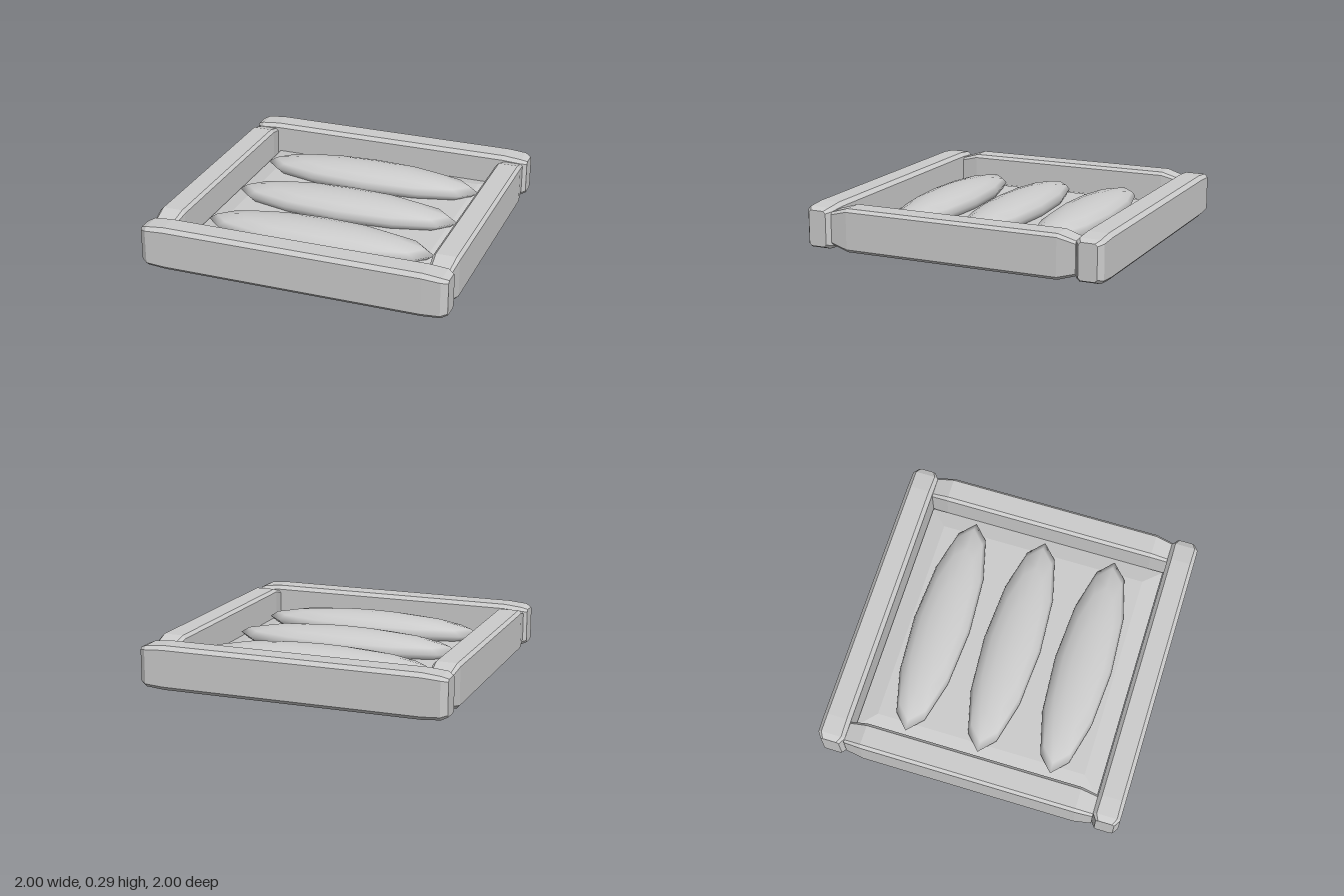
import * as THREE from 'three';

// Closed, flat-shaded solid lofted through rings of points of equal length.
// Rings run counter-clockwise as seen from the far end of the loft.
function loft(rings) {
  const pos = [];
  const tri = (a, b, c) => pos.push(...a, ...b, ...c);
  const n = rings[0].length;
  for (let r = 0; r < rings.length - 1; r++) {
    for (let i = 0; i < n; i++) {
      const j = (i + 1) % n;
      const [a, b, c, d] = [rings[r][i], rings[r][j], rings[r + 1][j], rings[r + 1][i]];
      tri(a, b, c);
      tri(a, c, d);
    }
  }
  const first = rings[0], last = rings[rings.length - 1];
  for (let i = 1; i < n - 1; i++) {
    tri(first[0], first[i + 1], first[i]);
    tri(last[0], last[i], last[i + 1]);
  }
  const g = new THREE.BufferGeometry();
  g.setAttribute('position', new THREE.Float32BufferAttribute(pos, 3));
  g.computeVertexNormals();
  return g;
}

// Eight-sided beam section at z: half width w, half height h, bevel b.
function section(z, w, h, b) {
  return [
    [w, -h + b, z], [w, h - b, z], [w - b, h, z], [-w + b, h, z],
    [-w, h - b, z], [-w, -h + b, z], [-w + b, -h, z], [w - b, -h, z],
  ];
}

// Beam along z from stations [z, w, h, bevel], mirrored about the middle.
function beam(stations) {
  const near = stations.map(([z, ...s]) => section(-z, ...s));
  const far = stations.map(([z, ...s]) => section(z, ...s)).reverse();
  return loft([...near, ...far]);
}

export function createModel() {
  const model = new THREE.Group();
  model.name = 'moundedTray';
  const grey = new THREE.MeshStandardMaterial({ color: 0xcccccc });
  grey.name = 'grey';
  const flatGrey = grey;

  function add(name, geometry, x, y, z) {
    const mesh = new THREE.Mesh(geometry, flatGrey);
    mesh.name = name;
    mesh.position.set(x, y, z);
    model.add(mesh);
    return mesh;
  }

  // Long front and back beams with chamfered ends
  const longBeam = beam([
    [1, 0.06, 0.115, 0.015],
    [0.96, 0.088, 0.132, 0.022],
    [0.84, 0.089, 0.143, 0.025],
  ]);
  add('frontBeam', longBeam, 0, 0.147, 0.911).rotation.y = Math.PI / 2;
  add('backBeam', longBeam, 0, 0.147, -0.911).rotation.y = -Math.PI / 2;

  // Side beams fitted between them
  const sideBeam = beam([
    [0.825, 0.072, 0.105, 0.015],
    [0.71, 0.085, 0.14, 0.02],
  ]);
  add('leftBeam', sideBeam, 0.904, 0.15, 0);
  add('rightBeam', sideBeam, -0.908, 0.15, 0);

  // Floor slab with sloping margins
  const square = (s, y) => [[s, y, s], [s, y, -s], [-s, y, -s], [-s, y, s]];
  add('floorPanel', loft([
    square(0.76, 0.015), square(0.815, 0.035), square(0.815, 0.09), square(0.7, 0.115),
  ]), 0, 0, 0);

  // Three smooth elongated mounds
  const mound = new THREE.SphereGeometry(1, 12, 8);
  mound.scale(0.765, 0.1, 0.192);
  for (const [name, z] of [['backMound', -0.487], ['middleMound', 0], ['frontMound', 0.487]]) {
    add(name, mound, 0, 0.15, z);
  }
  return model;
}
